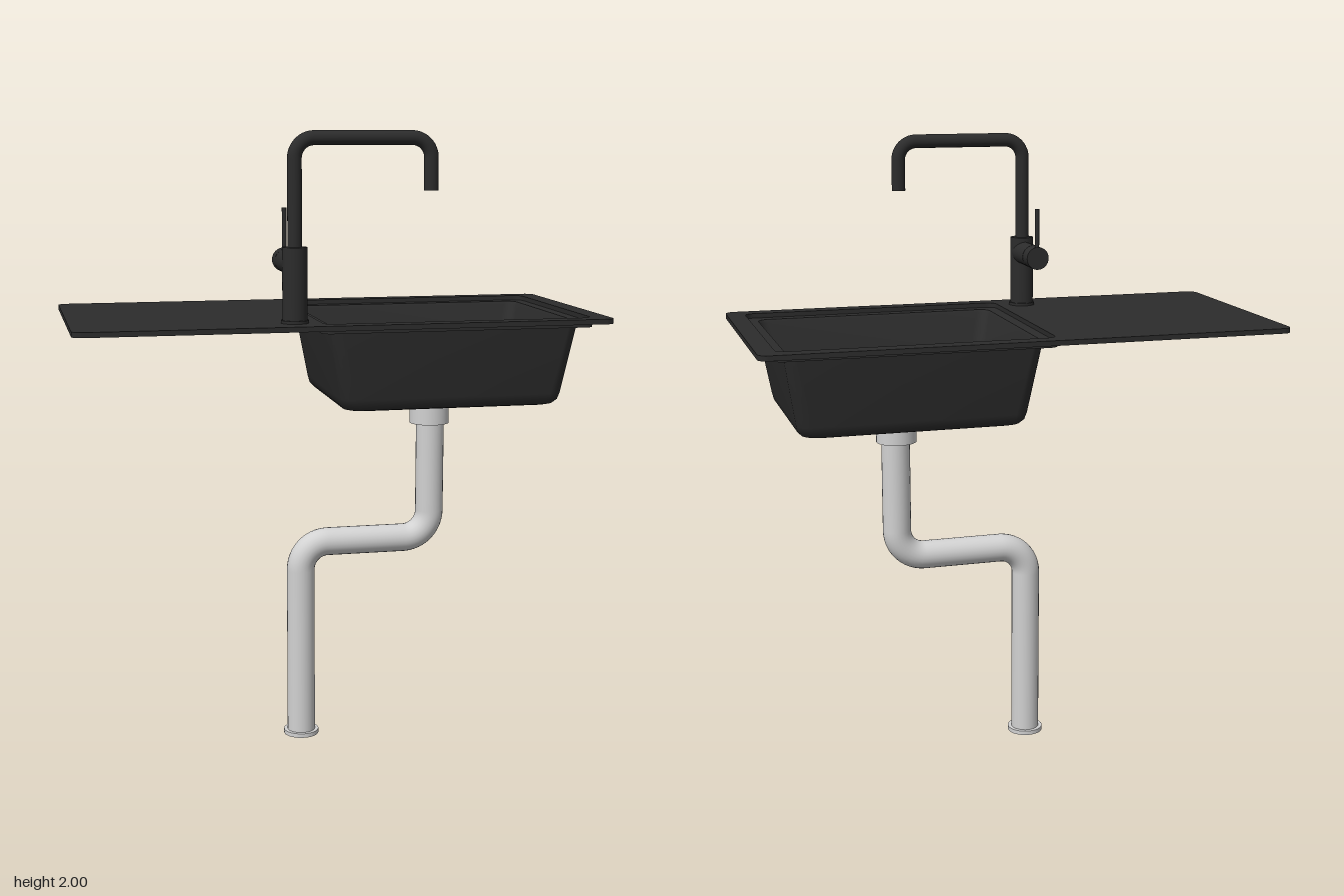
import * as THREE from 'three';
import { toCreasedNormals } from 'three/addons/utils/BufferGeometryUtils.js';

const V = (x, y, z) => new THREE.Vector3(x, y, z);

// Outline points of a rounded rectangle, given half sizes and corner radius
function roundedOutline(hx, hz, r, steps = 6) {
  const pts = [];
  [[1, 1], [-1, 1], [-1, -1], [1, -1]].forEach(([sx, sz], q) => {
    for (let i = 0; i <= steps; i++) {
      const a = (q + i / steps) * Math.PI / 2;
      pts.push(new THREE.Vector2(sx * (hx - r) + r * Math.cos(a), sz * (hz - r) + r * Math.sin(a)));
    }
  });
  return pts;
}

// Skin through rounded rectangles [halfX, halfZ, radius, y]
function loft(sections) {
  const pos = [], index = [];
  let n = 0;
  for (const [hx, hz, r, y] of sections) {
    const ring = roundedOutline(hx, hz, r);
    n = ring.length;
    for (const p of ring) pos.push(p.x, y, p.y);
  }
  for (let i = 0; i < sections.length - 1; i++) {
    for (let j = 0; j < n; j++) {
      const a = i * n + j, an = i * n + (j + 1) % n;
      index.push(a, an, a + n, an, an + n, a + n);
    }
  }
  const g = new THREE.BufferGeometry();
  g.setAttribute('position', new THREE.Float32BufferAttribute(pos, 3));
  g.setIndex(index);
  return toCreasedNormals(g, 0.65);
}

// Round pipe along straight runs joined by circular bends
function bentPipe(points, radius, bend) {
  const path = new THREE.CurvePath();
  let from = points[0];
  for (let i = 1; i < points.length - 1; i++) {
    const p = points[i];
    const inDir = p.clone().sub(points[i - 1]).normalize();
    const outDir = points[i + 1].clone().sub(p).normalize();
    const s = p.clone().addScaledVector(inDir, -bend), e = p.clone().addScaledVector(outDir, bend);
    path.add(new THREE.LineCurve3(from, s));
    path.add(new THREE.CubicBezierCurve3(s, s.clone().addScaledVector(inDir, bend * 0.552),
      e.clone().addScaledVector(outDir, -bend * 0.552), e));
    from = e;
  }
  path.add(new THREE.LineCurve3(from, points[points.length - 1]));
  return new THREE.TubeGeometry(path, 120, radius, 24, false);
}

export function createModel() {
  const model = new THREE.Group();
  model.name = 'kitchenSink';
  const black = new THREE.MeshStandardMaterial({ color: 0x2c2c2c });
  black.name = 'matteBlack';
  const grey = new THREE.MeshStandardMaterial({ color: 0xd2d2d2, side: THREE.DoubleSide });
  grey.name = 'lightGrey';

  const add = (name, geometry, material, x = 0, y = 0, z = 0, parent = model) => {
    const m = new THREE.Mesh(geometry, material);
    m.name = name;
    m.position.set(x, y, z);
    parent.add(m);
    return m;
  };
  const cyl = (r, h) => new THREE.CylinderGeometry(r, r, h, 32);

  // Worktop slab with an opening around the basin ledge
  const bx = 0.35;
  const slab = new THREE.Shape(roundedOutline(0.835, 0.4, 0.03));
  slab.holes.push(new THREE.Path(roundedOutline(0.427, 0.347, 0.03).map(p => p.setX(p.x + bx))));
  const slabGeo = new THREE.ExtrudeGeometry(slab, { depth: 0.016, bevelEnabled: false });
  slabGeo.rotateX(-Math.PI / 2);
  add('drainboard', toCreasedNormals(slabGeo, 0.6), black, 0, 1.41, 0);

  // Basin: inside floor and walls, ledge, then outside walls and underside
  add('basin', loft([
    [0, 0, 0, 1.163],
    [0.325, 0.255, 0.03, 1.165],
    [0.337, 0.267, 0.04, 1.169],
    [0.346, 0.275, 0.045, 1.181],
    [0.352, 0.28, 0.045, 1.2],
    [0.386, 0.304, 0.035, 1.402],
    [0.391, 0.309, 0.035, 1.411],
    [0.433, 0.354, 0.03, 1.411],
    [0.433, 0.354, 0.03, 1.396],
    [0.397, 0.317, 0.035, 1.396],
    [0.36, 0.292, 0.045, 1.18],
    [0.355, 0.287, 0.05, 1.158],
    [0.343, 0.276, 0.05, 1.145],
    [0.325, 0.258, 0.04, 1.14],
    [0, 0, 0, 1.14],
  ]), black, bx);

  // Strainer: slotted disc over a backing plate, with a centre screw
  const strainer = new THREE.Group();
  strainer.name = 'strainer';
  strainer.position.set(bx, 1.164, 0);
  model.add(strainer);
  const disc = new THREE.Shape().absarc(0, 0, 0.068, 0, Math.PI * 2);
  for (let i = 0; i < 8; i++) {
    const a = i * Math.PI / 4 + Math.PI / 8;
    const slot = new THREE.Path();
    slot.absarc(0, 0, 0.055, a - 0.2, a + 0.2, false);
    slot.absarc(0, 0, 0.027, a + 0.12, a - 0.12, true);
    slot.closePath();
    disc.holes.push(slot);
  }
  const discGeo = new THREE.ExtrudeGeometry(disc, { depth: 0.006, bevelEnabled: false, curveSegments: 24 });
  discGeo.rotateX(-Math.PI / 2);
  add('strainerDisc', toCreasedNormals(discGeo, 0.6), grey, 0, 0.002, 0, strainer);
  add('strainerBacking', cyl(0.064, 0.004), grey, 0, 0.001, 0, strainer);
  add('strainerScrew', cyl(0.013, 0.004), grey, 0, 0.009, 0, strainer);

  // Tap: body, bent spout, side valve and lever
  const tap = new THREE.Group();
  tap.name = 'tap';
  tap.position.set(-0.158, 0, 0.292);
  model.add(tap);
  add('tapBase', cyl(0.043, 0.01), black, 0, 1.43, 0, tap);
  add('tapBody', cyl(0.038, 0.23), black, 0, 1.54, 0, tap);
  add('spout', bentPipe([V(0, 1.65, 0), V(0, 1.978, 0), V(0.423, 1.978, 0), V(0.423, 1.822, 0)], 0.022, 0.06),
    black, 0, 0, 0, tap);
  add('spoutOutlet', cyl(0.022, 0.01), black, 0.423, 1.825, 0, tap);
  const valve = add('valve', cyl(0.037, 0.13), black, 0, 1.604, -0.065, tap);
  valve.rotation.x = Math.PI / 2;
  const knob = add('valveKnob', cyl(0.037, 0.05), black, 0, 1.604, -0.157, tap);
  knob.rotation.x = Math.PI / 2;
  const neck = add('valveNeck', cyl(0.033, 0.012), black, 0, 1.604, -0.13, tap);
  neck.rotation.x = Math.PI / 2;
  add('lever', cyl(0.007, 0.155), black, 0, 1.687, -0.172, tap);

  // Drain: collar under the basin, stepped waste pipe and open foot flange
  add('drainCollar', cyl(0.065, 0.092), grey, bx, 1.095, 0);
  add('wastePipe', bentPipe([V(0.353, 1.06, 0), V(0.353, 0.66, 0), V(-0.085, 0.66, 0), V(-0.085, 0, 0)], 0.046, 0.09), grey);
  const foot = [[0.046, 0], [0.058, 0], [0.058, 0.014], [0.046, 0.014]].map(p => new THREE.Vector2(...p));
  add('footFlange', toCreasedNormals(new THREE.LatheGeometry(foot, 32), 0.6), grey, -0.085);

  return model;
}
